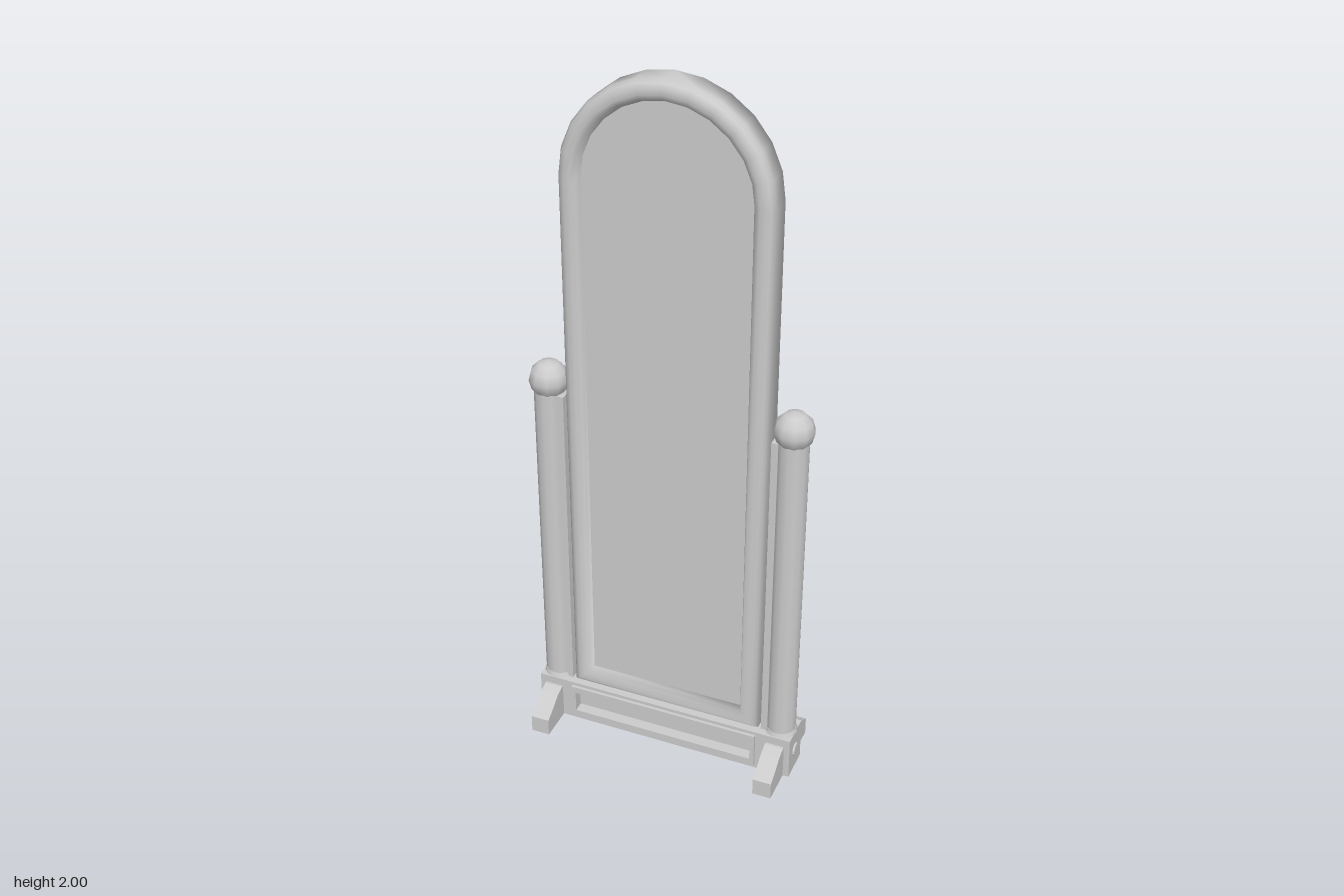
import * as THREE from 'three';
import { toCreasedNormals } from 'three/addons/utils/BufferGeometryUtils.js';

const material = new THREE.MeshStandardMaterial({ color: 0xcccccc, side: THREE.DoubleSide });

const HALF_WIDTH = 0.284, BOTTOM = 0.13, ARCH_Y = 1.716;

// Arch outline, counterclockwise from the lower right corner, inset by d
function archOutline(d) {
  const r = HALF_WIDTH - d, pts = [new THREE.Vector2(r, BOTTOM + d)];
  for (let i = 0; i <= 12; i++) {
    const a = (Math.PI * i) / 12;
    pts.push(new THREE.Vector2(r * Math.cos(a), ARCH_Y + r * Math.sin(a)));
  }
  pts.push(new THREE.Vector2(-r, BOTTOM + d));
  return pts;
}

// Rounded moulding swept around the arch, closed at the back
function frameGeometry() {
  const profile = [[0, -0.04], [0, 0.022], [0.008, 0.034], [0.02, 0.04], [0.036, 0.04], [0.05, 0.034], [0.058, 0.016]];
  const pos = [], index = [];
  const n = archOutline(0).length;
  for (const [d, z] of profile) for (const p of archOutline(d)) pos.push(p.x, p.y, z);
  for (let j = 0; j < profile.length - 1; j++) {
    for (let i = 0; i < n; i++) {
      const k = (i + 1) % n, a = j * n + i, b = j * n + k, c = a + n, e = b + n;
      index.push(a, b, c, b, e, c);
    }
  }
  for (let i = 0; i < Math.floor(n / 2); i++) {
    const l = n - 1 - i;
    index.push(i, l, i + 1);
    if (l - 1 > i + 1) index.push(l, l - 1, i + 1);
  }
  const geo = new THREE.BufferGeometry();
  geo.setAttribute('position', new THREE.Float32BufferAttribute(pos, 3));
  geo.setIndex(index);
  geo.computeVertexNormals();
  return geo;
}

// Drops the faces lying on the ground, leaving a hollow shell
function openBottom(source) {
  const geo = source.index ? source.toNonIndexed() : source;
  const p = geo.attributes.position, kept = [];
  for (let i = 0; i < p.count; i += 3) {
    if (Math.max(p.getY(i), p.getY(i + 1), p.getY(i + 2)) < 1e-4) continue;
    for (let k = i; k < i + 3; k++) kept.push(p.getX(k), p.getY(k), p.getZ(k));
  }
  const out = new THREE.BufferGeometry();
  out.setAttribute('position', new THREE.Float32BufferAttribute(kept, 3));
  out.computeVertexNormals();
  return out;
}

function box(x0, x1, y0, y1, z0, z1) {
  return new THREE.BoxGeometry(x1 - x0, y1 - y0, z1 - z0)
    .translate((x0 + x1) / 2, (y0 + y1) / 2, (z0 + z1) / 2);
}

// Rectangular plate with a rectangular opening
function windowPlate(w, y0, y1, iw, iy0, iy1, z, depth) {
  const rect = (C, hw, a, b) => new C([[-hw, a], [hw, a], [hw, b], [-hw, b]].map(q => new THREE.Vector2(...q)));
  const shape = rect(THREE.Shape, w, y0, y1);
  shape.holes.push(rect(THREE.Path, iw, iy0, iy1));
  return new THREE.ExtrudeGeometry(shape, { depth, bevelEnabled: false }).translate(0, 0, z);
}

// Foot: sloped side profile extruded across its width
function footGeometry() {
  const half = [[0.15, 0], [0.15, 0.052], [0.125, 0.066], [0.085, 0.095], [0.055, 0.105]];
  const pts = [...half, ...half.map(([z, y]) => [-z, y]).reverse()].map(q => new THREE.Vector2(...q));
  const geo = new THREE.ExtrudeGeometry(new THREE.Shape(pts), { depth: 0.054, bevelEnabled: false });
  geo.rotateY(-Math.PI / 2).translate(0.371, 0, 0);
  return openBottom(geo);
}

export function createModel() {
  const model = new THREE.Group();
  const add = (parent, name, geo) => {
    const mesh = new THREE.Mesh(geo, material);
    mesh.name = name;
    parent.add(mesh);
    return mesh;
  };

  // Arched mirror
  add(model, 'mirrorFrame', frameGeometry());
  add(model, 'mirrorGlass', new THREE.ShapeGeometry(new THREE.Shape(archOutline(0.058))).translate(0, 0, 0.018));

  // Hollow crossbar with a recessed front panel
  add(model, 'crossbar', openBottom(box(-0.285, 0.285, 0, 0.13, -0.052, 0.025)));
  add(model, 'crossbarFront', windowPlate(0.285, 0, 0.13, 0.272, 0.035, 0.1, 0.025, 0.023));
  add(model, 'panelSurround', windowPlate(0.285, 0.016, 0.12, 0.272, 0.035, 0.1, 0.048, 0.009));

  // Mirrored uprights and feet
  const post = new THREE.CylinderGeometry(0.042, 0.042, 0.97, 12, 1, true).translate(0, 0.605, 0);
  const collar = toCreasedNormals(new THREE.CylinderGeometry(0.043, 0.047, 0.012, 12).translate(0, 0.136, 0), 0.8);
  const ball = new THREE.SphereGeometry(0.055, 10, 6).translate(0, 1.115, 0);
  for (const side of [1, -1]) {
    const upright = new THREE.Group();
    upright.name = side > 0 ? 'leftUpright' : 'rightUpright';
    add(upright, 'post', post).position.x = 0.345;
    add(upright, 'collar', collar).position.x = 0.345;
    add(upright, 'ballFinial', ball).position.x = 0.345;
    add(upright, 'sideStrip', box(0.293, 0.312, 0.13, 1.08, -0.026, 0.026));
    add(upright, 'endBlock', openBottom(box(0.285, 0.388, 0, 0.13, -0.052, 0.048)));
    add(upright, 'foot', footGeometry());
    const peg = new THREE.CylinderGeometry(0.02, 0.022, 0.006, 10).rotateZ(-Math.PI / 2);
    add(upright, 'sidePeg', toCreasedNormals(peg, 0.8)).position.set(0.39, 0.065, 0);
    if (side < 0) upright.rotation.y = 0, upright.scale.x = -1;
    model.add(upright);
  }
  return model;
}
